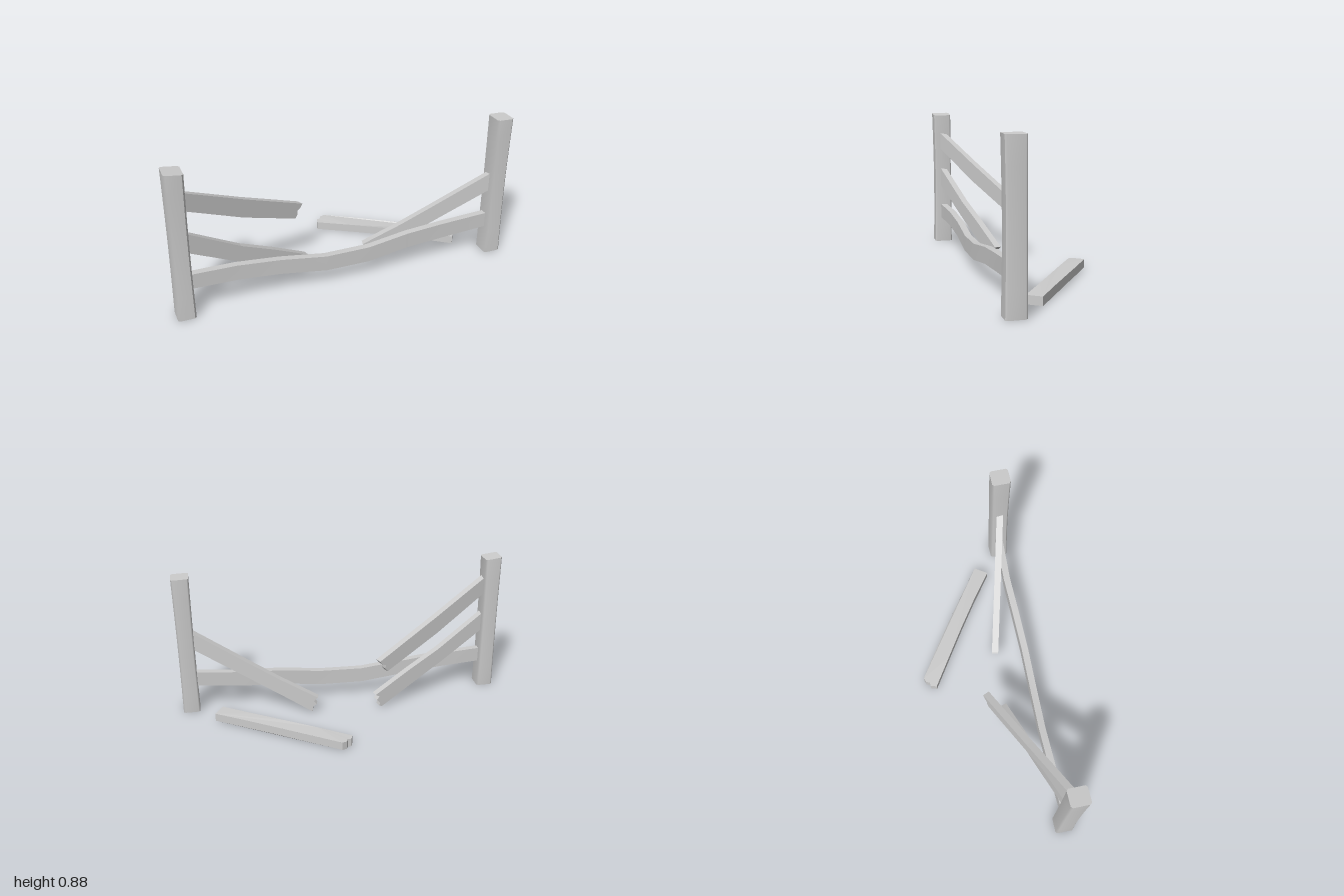
import * as THREE from 'three';

const material = new THREE.MeshStandardMaterial({ color: 0xcccccc, side: THREE.DoubleSide });

function named(name, geometry) {
  const mesh = new THREE.Mesh(geometry, material);
  mesh.name = name;
  return mesh;
}

const outline = (points) => new THREE.Shape(points.map(([x, y]) => new THREE.Vector2(x, y)));

// Moves every vertex of a geometry by a rule
function reshape(geometry, rule) {
  const pos = geometry.attributes.position;
  const v = new THREE.Vector3();
  for (let i = 0; i < pos.count; i++) {
    v.fromBufferAttribute(pos, i);
    rule(v);
    pos.setXYZ(i, v.x, v.y, v.z);
  }
  geometry.computeVertexNormals();
  return geometry;
}

// Slightly waisted square post with softened corners, open underneath
function post(name, x, tilt) {
  const height = 0.87, hx = 0.051, hz = 0.055, chamfer = 0.01;
  const geo = new THREE.CylinderGeometry(1, 1, height, 8, 6, false, Math.PI / 8);
  const bottom = geo.groups[2];
  geo.setIndex(Array.from(geo.index.array).slice(0, bottom.start));
  geo.clearGroups();
  const side = (c, h) => Math.abs(c) < 0.01 ? 0 : Math.sign(c) * (Math.abs(c) > 0.6 ? h : h - chamfer);
  reshape(geo, (v) => {
    const u = v.y / height + 0.5;
    const waist = Math.sin(u * Math.PI);
    const px = side(v.x, hx - 0.003 * waist);
    const pz = side(v.z, hz - 0.003 * waist);
    v.set(x + px, u * (height + tilt * px), 0.3 + pz - 0.003 * waist);
  });
  return named(name, geo);
}

// Snapped rail: outline in front elevation, swung backwards about its post
function brokenRail(name, postX, angle, points) {
  const dir = -Math.sign(postX);
  const thickness = 0.04;
  const local = points.map(([x, y]) => [(x - postX) * dir / Math.cos(angle), y]);
  const geo = new THREE.ExtrudeGeometry(outline(local), { depth: thickness, bevelEnabled: false });
  geo.translate(0, 0, -thickness / 2);
  const mesh = named(name, geo);
  mesh.position.set(postX, 0, 0.295);
  mesh.rotation.y = dir > 0 ? angle : Math.PI - angle;
  return mesh;
}

// Unbroken sagging rail between the posts: [x, bottom, top, z centre]
function saggingRail() {
  const stations = [
    [-0.92, 0.167, 0.257, 0.298], [-0.65, 0.155, 0.246, 0.287], [-0.4, 0.13, 0.221, 0.284],
    [-0.13, 0.093, 0.186, 0.293], [0.13, 0.096, 0.19, 0.298], [0.38, 0.13, 0.223, 0.291],
    [0.6, 0.141, 0.235, 0.285], [0.91, 0.167, 0.257, 0.295],
  ];
  const n = stations.length - 1;
  const geo = new THREE.BoxGeometry(n, 1, 0.04, n, 1, 1);
  reshape(geo, (v) => {
    const [x, low, high, z] = stations[Math.round(v.x + n / 2)];
    v.set(x, v.y > 0 ? high : low, z + v.z);
  });
  return named('bottomRail', geo);
}

// Broken piece lying on the ground, slightly arched
function fallenRail() {
  const plan = [
    [0.04, -0.285], [0.052, -0.322], [0.073, -0.322], [0.083, -0.345], [0.11, -0.355],
    [0.29, -0.24], [0.46, -0.125], [0.64, 0], [0.805, 0.115],
    [0.755, 0.19], [0.58, 0.065], [0.4, -0.055], [0.22, -0.17],
  ];
  const geo = new THREE.ExtrudeGeometry(outline(plan.map(([x, z]) => [x, -z])), { depth: 0.049, bevelEnabled: false });
  geo.rotateX(-Math.PI / 2);
  reshape(geo, (v) => {
    const u = (v.x - 0.04) / 0.765;
    v.y += 0.03 * u * (1 - u);
  });
  return named('fallenRail', geo);
}

export function createModel() {
  const group = new THREE.Group();
  group.name = 'brokenFence';

  group.add(post('rightPost', -0.949, -0.12), post('leftPost', 0.943, -0.03));
  group.add(saggingRail(), fallenRail());

  // Each outline: top edge, splintered end, bottom edge
  group.add(brokenRail('upperRightRail', -0.9, 0.398, [
    [-0.94, 0.76], [-0.9, 0.74], [-0.56, 0.566], [-0.17, 0.376],
    [-0.187, 0.353], [-0.208, 0.343], [-0.208, 0.318], [-0.222, 0.298],
    [-0.57, 0.457], [-0.9, 0.635], [-0.94, 0.655],
  ]));
  group.add(brokenRail('lowerRightRail', -0.9, 0.265, [
    [-0.94, 0.525], [-0.9, 0.5], [-0.6, 0.315], [-0.4, 0.215], [-0.175, 0.093],
    [-0.2, 0.075], [-0.183, 0.055], [-0.205, 0.03], [-0.2, 0.012], [-0.215, 0.002],
    [-0.43, 0.12], [-0.62, 0.222], [-0.9, 0.385], [-0.94, 0.41],
  ]));
  group.add(brokenRail('lowerLeftRail', 0.89, 0.24, [
    [0.93, 0.54], [0.89, 0.515], [0.55, 0.31], [0.4, 0.221], [0.175, 0.1],
    [0.2, 0.075], [0.182, 0.055], [0.205, 0.035], [0.208, 0.002],
    [0.4, 0.118], [0.56, 0.212], [0.89, 0.405], [0.93, 0.43],
  ]));
  return group;
}
